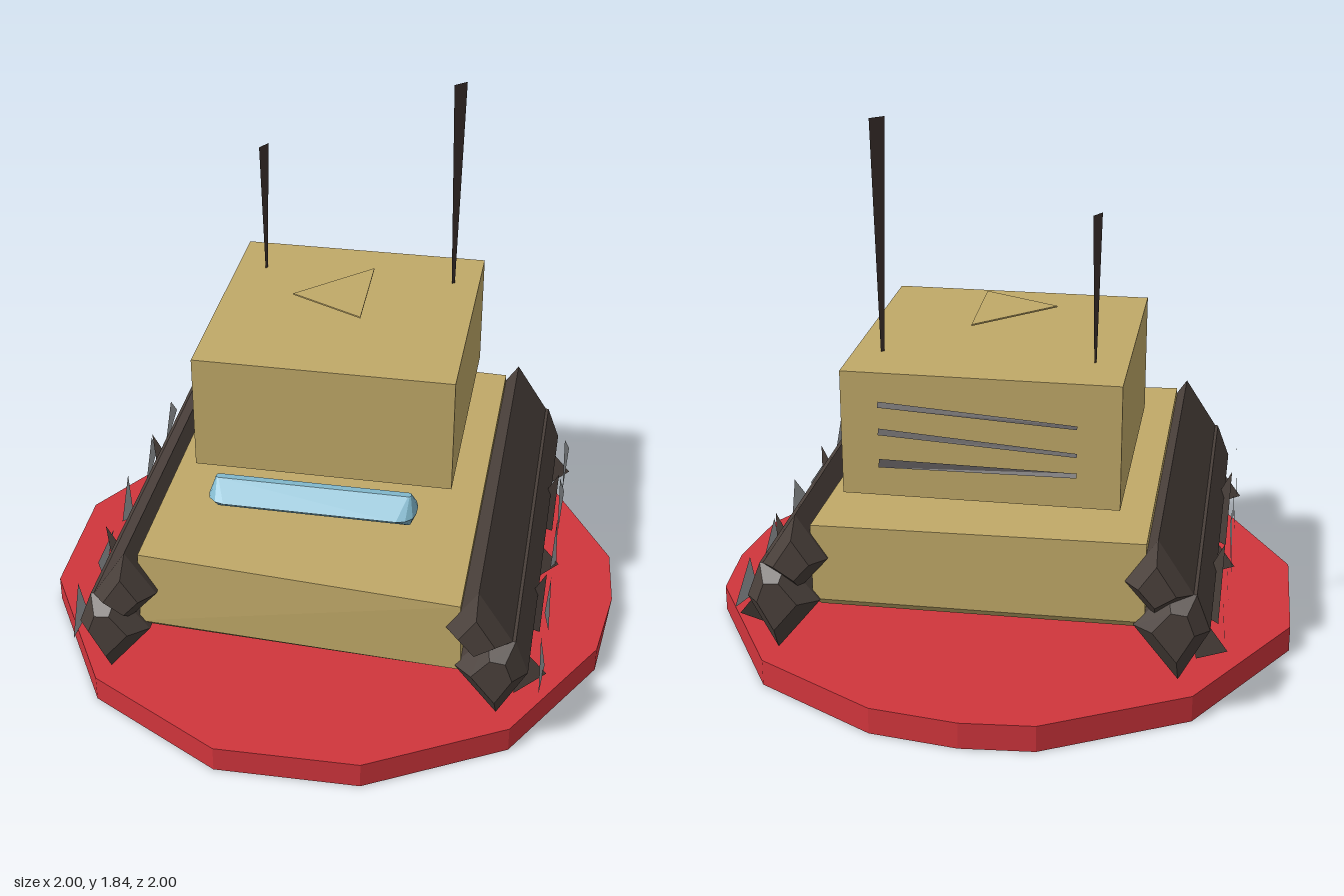
import * as THREE from 'three';

const mat = (name, color, side = THREE.FrontSide) => {
  const m = new THREE.MeshStandardMaterial({ color, side, flatShading: true });
  m.name = name;
  return m;
};

// Joins rings of [x, y, z] points into a closed, faceted solid with outward faces
function loft(rings) {
  const tris = [];
  const n = rings[0].length;
  for (let r = 0; r < rings.length - 1; r++) {
    for (let i = 0; i < n; i++) {
      const j = (i + 1) % n;
      const [a, b, c, d] = [rings[r][i], rings[r][j], rings[r + 1][j], rings[r + 1][i]];
      tris.push([a, b, c], [a, c, d]);
    }
  }
  const first = rings[0], last = rings[rings.length - 1];
  for (let i = 1; i < n - 1; i++) {
    tris.push([first[0], first[i + 1], first[i]], [last[0], last[i], last[i + 1]]);
  }
  let volume = 0;
  for (const [a, b, c] of tris) {
    volume += new THREE.Vector3(...a).dot(new THREE.Vector3(...b).cross(new THREE.Vector3(...c)));
  }
  if (volume < 0) tris.forEach((t) => t.reverse());
  return surface(tris);
}

// Faceted geometry from a list of triangles
function surface(tris) {
  const geo = new THREE.BufferGeometry();
  geo.setAttribute('position', new THREE.Float32BufferAttribute(tris.flat(2), 3));
  geo.computeVertexNormals();
  return geo;
}

// Rounded rectangle ring lying at height y
function roundedRing(y, halfX, halfZ, radius, cx, cz) {
  const ring = [];
  for (let q = 0; q < 4; q++) {
    const sx = q === 0 || q === 3 ? 1 : -1;
    const sz = q < 2 ? 1 : -1;
    for (let k = 0; k < 4; k++) {
      const a = (q + k / 3) * Math.PI / 2;
      ring.push([cx + sx * (halfX - radius) + radius * Math.cos(a), y,
        cz + sz * (halfZ - radius) + radius * Math.sin(a)]);
    }
  }
  return ring;
}

// Bar along z with a polygon section and bevelled ends
function trackBar(section, side) {
  const cx = section.reduce((s, p) => s + p[0], 0) / section.length;
  const cy = section.reduce((s, p) => s + p[1], 0) / section.length;
  const stations = [[-0.755, 0.55], [-0.7, 1], [0.71, 1], [0.77, 0.55]];
  return loft(stations.map(([z, k]) =>
    section.map(([x, y]) => [side * (cx + (x - cx) * k), cy + (y - cy) * k, z])));
}

export function createModel() {
  const model = new THREE.Group();
  model.name = 'trackedVehicle';
  const red = mat('red', 0xd0353c);
  const tan = mat('tan', 0xc0a968);
  const dark = mat('dark brown', 0x4a403b);
  const antennaDark = mat('antenna brown', 0x3e332f, THREE.DoubleSide);
  const bladeDark = mat('blade brown', 0x4a403b, THREE.DoubleSide);
  const blue = mat('light blue', 0x80b7cc);
  const grey = mat('grey', 0x9fa2a5, THREE.DoubleSide);
  const black = mat('vent black', 0x2a2224, THREE.DoubleSide);

  const add = (name, geo, material, parent = model) => {
    const mesh = new THREE.Mesh(geo, material);
    mesh.name = name;
    parent.add(mesh);
    return mesh;
  };

  // Irregular disc under the vehicle
  const outline = [[-0.23, 1], [0.25, 0.99], [0.7, 0.74], [0.96, 0.29], [1, 0], [0.98, -0.25],
    [0.7, -0.73], [0.29, -0.96], [0, -1], [-0.24, -0.98], [-0.7, -0.73], [-1, -0.23],
    [-0.99, 0.24], [-0.7, 0.74]];
  add('base', loft([outline.map(([x, z]) => [Math.min(x, 0.98), 0, z]),
    outline.map(([x, z]) => [x, 0.09, z])]), red);

  // Slightly skewed hull with a lower chamfer
  add('hull', loft([
    [[-0.52, 0.29, 0.66], [0.51, 0.28, 0.69], [0.51, 0.28, -0.66], [-0.52, 0.29, -0.67]],
    [[-0.54, 0.33, 0.7], [0.53, 0.295, 0.715], [0.53, 0.31, -0.69], [-0.54, 0.32, -0.7]],
    [[-0.54, 0.585, 0.68], [0.52, 0.545, 0.71], [0.53, 0.57, -0.69], [-0.54, 0.59, -0.7]],
  ]), tan);

  // Cabin
  add('cabin', new THREE.BoxGeometry(0.88, 0.41, 0.89), tan).position.set(-0.01, 0.875, -0.195);

  // Thin triangular roof hatch
  const hatch = [[0.065, -0.36], [-0.18, -0.125], [0.075, 0]];
  add('roofHatch', loft([1.152, 1.157].map((y) => hatch.map(([x, z]) => [x, y, z]))), tan);

  // Front lamp bar with a diamond section
  add('lampBar', loft([
    roundedRing(0.648, 0.325, 0.012, 0.01, -0.005, 0.435),
    roundedRing(0.703, 0.345, 0.08, 0.06, -0.005, 0.435),
    roundedRing(0.76, 0.325, 0.012, 0.01, -0.005, 0.435),
  ]), blue);

  // Flat antennas, widening upward
  for (const [x, top, dx, dz] of [[-0.344, 1.56, 0.012, 0.022], [0.338, 1.835, 0.02, 0.019]]) {
    const z = -0.442, k = 0.25;
    const a = [x - dx * k, 1.08, z + dz * k], b = [x + dx * k, 1.08, z - dz * k];
    const c = [x + dx, top, z - dz], d = [x - dx, top, z + dz];
    add('antenna', surface([[a, b, c], [a, c, d]]), antennaDark);
  }

  // Rear vent slats
  [[0.995, 0.965, 0.016], [0.905, 0.875, 0.018], [0.8, 0.81, 0.024]].forEach(([y0, y1, h], i) => {
    const z = -0.695;
    const a = [0.3, y0 - h / 2, z], b = [-0.32, y1 - h / 2, z - 0.01];
    const c = [-0.32, y1, z], d = [0.3, y0 + h / 2, z + 0.01];
    add('ventSlat' + (i + 1), surface([[a, b, c], [a, c, d]]), black);
  });

  // Tracks with side plates and blades, mirrored
  const upper = [[0.575, 0.608], [0.475, 0.46], [0.57, 0.35], [0.69, 0.43]];
  const lower = [[0.61, 0.44], [0.505, 0.31], [0.65, 0.13], [0.745, 0.31], [0.7, 0.43]];
  // Side plate corners as [z, y]
  const plates = [
    [[0.62, 0.39], [0.69, 0.21], [0.51, 0.18]],
    [[0.41, 0.32], [0.2, 0.31], [0.32, 0.17]],
    [[0.12, 0.29], [-0.005, 0.41], [-0.06, 0.18]],
    [[-0.29, 0.39], [-0.19, 0.2], [-0.4, 0.26]],
    [[-0.57, 0.38], [-0.48, 0.21], [-0.7, 0.26]],
  ];
  for (const side of [1, -1]) {
    const track = new THREE.Group();
    track.name = side > 0 ? 'leftTrack' : 'rightTrack';
    model.add(track);
    add('upperTrack', trackBar(upper, side), dark, track);
    add('lowerTrack', trackBar(lower, side), dark, track);
    plates.forEach((corners, i) => {
      const plate = corners.map(([z, y], k) => [side * (0.775 + 0.008 * k), y, z]);
      add('sidePlate', surface([plate]), grey, track);
      const z = 0.6 - 0.3 * i;
      const blade = i % 2
        ? [[0.65, 0.18, z], [0.76, 0.13, z - 0.02], [0.77, 0.41, z + 0.015]]
        : [[0.66, 0.38, z], [0.8, 0.2, z - 0.025], [0.7, 0.14, z + 0.02]];
      add('blade', surface([blade.map(([x, y, w]) => [side * x, y, w])]), bladeDark, track);
    });
  }
  return model;
}
